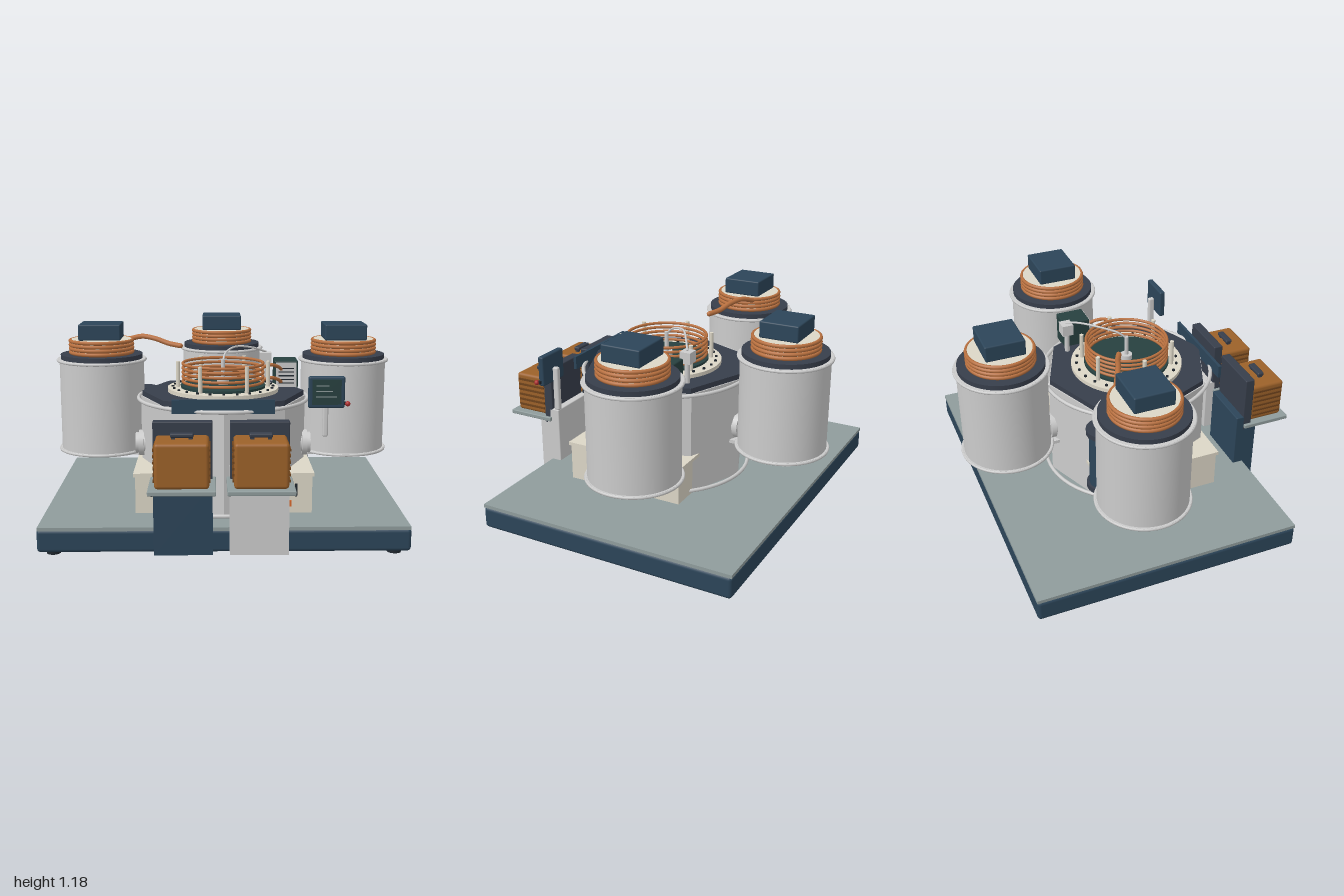
import * as THREE from 'three';
import { RoundedBoxGeometry } from 'three/addons/geometries/RoundedBoxGeometry.js';

const mat = (color, opts = {}) => new THREE.MeshStandardMaterial({ color, ...opts });
const GREY = mat(0xcccccc), NAVY = mat(0x2c4559), SLATE = mat(0x373e4b), CREAM = mat(0xdcd6c6);
const COPPER = mat(0xb8703f), ORANGE = mat(0x9c6129), DECK = mat(0x8f9c9c), GREEN = mat(0x27403f);
const DARK = mat(0x1f262d), RED = mat(0xb03030), BROWN = mat(0x6e431c);
const FACETED = mat(0xcccccc, { flatShading: true }), FACETED_SLATE = mat(0x373e4b, { flatShading: true });
const CZ = 0.06; // chamber axis, z

function add(parent, name, geometry, material, x = 0, y = 0, z = 0) {
  const m = new THREE.Mesh(geometry, material);
  m.name = name;
  m.position.set(x, y, z);
  parent.add(m);
  return m;
}

function group(parent, name, x = 0, y = 0, z = 0) {
  const g = new THREE.Group();
  g.name = name;
  g.position.set(x, y, z);
  parent.add(g);
  return g;
}

// Box given by its min and max corners
function box(parent, name, material, [x0, x1], [y0, y1], [z0, z1], radius = 0) {
  const s = [x1 - x0, y1 - y0, z1 - z0];
  const geo = radius ? new RoundedBoxGeometry(...s, 3, radius) : new THREE.BoxGeometry(...s);
  return add(parent, name, geo, material, (x0 + x1) / 2, (y0 + y1) / 2, (z0 + z1) / 2);
}

// Upright cylinder between two heights
function drum(parent, name, material, r, y0, y1, x = 0, z = 0, sides = 48) {
  return add(parent, name, new THREE.CylinderGeometry(r, r, y1 - y0, sides), material, x, (y0 + y1) / 2, z);
}

function ring(parent, name, material, r, tube, y, x = 0, z = 0) {
  const m = add(parent, name, new THREE.TorusGeometry(r, tube, 8, 56), material, x, y, z);
  m.rotation.x = Math.PI / 2;
  return m;
}

function hose(parent, name, material, r, points) {
  const curve = new THREE.CatmullRomCurve3(points.map(p => new THREE.Vector3(...p)));
  const g = group(parent, name);
  add(g, name + 'Tube', new THREE.TubeGeometry(curve, 32, r, 10), material);
  for (const p of [points[0], points[points.length - 1]]) add(g, name + 'End', new THREE.SphereGeometry(r, 10, 8), material, ...p);
}

function buildBase(root) {
  const g = group(root, 'base');
  box(g, 'plinth', NAVY, [-1, 1], [0.04, 0.165], [-0.84, 0.67], 0.02);
  box(g, 'deck', DECK, [-0.995, 0.995], [0.16, 0.18], [-0.84, 0.67]);
  box(g, 'bottomPlate', CREAM, [-0.49, 0.49], [0.018, 0.045], [-0.28, 0.42]);
  for (const sx of [-1, 1]) {
    for (const z of [-0.77, 0.6]) drum(g, 'outerFoot', DARK, 0.038, 0.018, 0.045, sx * 0.92, z, 24);
    for (const z of [-0.21, 0.34]) drum(g, 'innerFoot', DARK, 0.03, 0, 0.02, sx * 0.38, z, 24);
  }
}

function buildCabinet(root) {
  const g = group(root, 'cabinet');
  box(g, 'cabinetBody', CREAM, [-0.49, 0.49], [0.18, 0.39], [-0.28, 0.42]);
  box(g, 'cabinetTop', CREAM, [-0.5, 0.5], [0.39, 0.41], [-0.3, 0.43]);
  for (const s of [-1, 1]) {
    box(g, 'door', CREAM, [s * 0.25 - 0.225, s * 0.25 + 0.225], [0.2, 0.375], [0.42, 0.427]);
    box(g, 'doorHandle', DARK, [s * 0.4 - 0.006, s * 0.4 + 0.006], [0.28, 0.35], [0.425, 0.437]);
  }
  box(g, 'warningLabel', mat(0xd8682c), [0.335, 0.375], [0.22, 0.255], [0.425, 0.431]);
}

function buildChamber(root) {
  const g = group(root, 'chamber', 0, 0, CZ);
  drum(g, 'chamberBody', FACETED, 0.475, 0.185, 0.78, 0, 0, 8);
  for (const y of [0.2, 0.775]) ring(g, 'chamberFlange', GREY, 0.488, 0.011, y);
  drum(g, 'lid', FACETED_SLATE, 0.468, 0.775, 0.81, 0, 0, 8);

  // Bolted collar around the window
  const shape = new THREE.Shape().absarc(0, 0, 0.32, 0, Math.PI * 2);
  shape.holes.push(new THREE.Path().absarc(0, 0, 0.22, 0, Math.PI * 2, true));
  const collar = new THREE.ExtrudeGeometry(shape, { depth: 0.022, bevelEnabled: false, curveSegments: 40 });
  add(g, 'collar', collar.rotateX(-Math.PI / 2), CREAM, 0, 0.81, 0);
  for (let i = 0; i < 24; i++) {
    const a = i * Math.PI / 12;
    drum(g, 'bolt', DARK, 0.009, 0.83, 0.84, 0.29 * Math.sin(a), 0.29 * Math.cos(a), 6);
  }
  drum(g, 'window', GREEN, 0.245, 0.81, 0.845);

  // Copper coil on posts
  for (let i = 0; i < 5; i++) ring(g, 'coilTurn', COPPER, 0.232, 0.0085, 0.865 + i * 0.026);
  for (let i = 0; i < 6; i++) {
    const a = (i + 0.5) * Math.PI / 3;
    drum(g, 'coilPost', CREAM, 0.012, 0.83, 0.98, 0.26 * Math.sin(a), 0.26 * Math.cos(a), 12);
  }
  drum(g, 'gasInlet', GREY, 0.034, 0.84, 0.875, 0, 0, 24);
  drum(g, 'gasStem', GREY, 0.012, 0.87, 0.99, 0, 0, 16);
  hose(g, 'gasLine', GREY, 0.006, [[0, 0.98, 0], [0.015, 1.02, -0.05], [0.08, 1.045, -0.15], [0.18, 1.03, -0.22], [0.26, 1.0, -0.27]]);

  // Short ports towards the three tanks
  for (const a of [-Math.PI / 2, Math.PI / 2, Math.PI]) {
    const port = group(g, 'port', 0, 0.5, 0);
    port.rotation.y = a;
    add(port, 'portTube', new THREE.CylinderGeometry(0.06, 0.06, 0.12, 32).rotateX(Math.PI / 2), GREY, 0, 0, 0.45);
    add(port, 'portFlange', new THREE.CylinderGeometry(0.075, 0.075, 0.03, 32).rotateX(Math.PI / 2), GREY, 0, 0, 0.475);
  }
  box(g, 'namePlate', NAVY, [-0.28, 0.27], [0.765, 0.84], [0.455, 0.472]);
}

function buildMatchingUnit(root) {
  const g = group(root, 'matchingUnit');
  box(g, 'matchBox', GREEN, [0.305, 0.445], [0.795, 0.965], [-0.21, -0.05], 0.008);
  box(g, 'matchPanel', GREY, [0.315, 0.435], [0.805, 0.955], [-0.055, -0.045]);
  for (let i = 0; i < 5; i++) box(g, 'ventSlat', DARK, [0.33, 0.42], [0.83 + i * 0.022, 0.836 + i * 0.022], [-0.046, -0.042]);
  box(g, 'gasBlock', GREY, [0.225, 0.295], [0.93, 0.995], [-0.245, -0.18]);
  drum(g, 'gasBlockStand', GREY, 0.015, 0.8, 0.94, 0.26, -0.21, 16);
  for (const y of [0.87, 0.945]) {
    hose(g, 'copperFeed', COPPER, 0.01, [[0.23, y, CZ], [0.28, y + 0.01, 0.045], [0.32, y - 0.005, 0.01], [0.345, y - 0.03, -0.05]]);
  }
}

function buildScreen(root) {
  const g = group(root, 'controlScreen');
  box(g, 'screenCase', NAVY, [0.45, 0.645], [0.79, 0.96], [0.475, 0.51], 0.01);
  box(g, 'screenGlass', GREEN, [0.47, 0.625], [0.81, 0.945], [0.505, 0.513]);
  for (let i = 0; i < 3; i++) box(g, 'screenLine', DECK, [0.49, 0.6 - i * 0.02], [0.85 + i * 0.03, 0.855 + i * 0.03], [0.51, 0.515]);
  box(g, 'screenArm', GREY, [0.533, 0.563], [0.625, 0.88], [0.44, 0.476], 0.01);
  add(g, 'stopButton', new THREE.SphereGeometry(0.014, 16, 12), RED, 0.66, 0.815, 0.512);
  box(g, 'stopButtonMount', DARK, [0.635, 0.66], [0.807, 0.823], [0.49, 0.508]);
}

function buildTank(root, x, z) {
  const g = group(root, 'tank', x, 0, z);
  drum(g, 'tankBody', GREY, 0.25, 0.43, 0.97);
  for (const y of [0.432, 0.965]) {
    drum(g, 'tankFlange', GREY, 0.262, y - 0.008, y + 0.008);
    ring(g, 'tankFlangeRim', GREY, 0.258, 0.009, y);
  }
  drum(g, 'tankCollar', SLATE, 0.242, 0.97, 1.0);
  drum(g, 'core', CREAM, 0.18, 1.0, 1.087);
  for (let i = 0; i < 4; i++) ring(g, 'windingTurn', COPPER, 0.183, 0.011, 1.011 + i * 0.0225);
  box(g, 'headBox', NAVY, [-0.123, 0.123], [1.087, 1.18], [-0.112, 0.112], 0.008);
  // Flat support arm pointing at the chamber
  const arm = group(g, 'supportArm');
  arm.rotation.y = Math.atan2(-x, CZ - z);
  box(arm, 'armPlate', GREY, [-0.07, 0.07], [0.408, 0.428], [0, 0.34]);
}

function buildPumps(root) {
  const g = group(root, 'pumps');
  // Bellows below the chamber
  drum(g, 'bellowsCore', DARK, 0.045, 0.28, 0.43, 0.455, -0.13, 24);
  for (let i = 0; i < 5; i++) ring(g, 'bellowsFold', SLATE, 0.055, 0.011, 0.325 + i * 0.021, 0.455, -0.13);
  // Upright pump behind the chamber
  drum(g, 'pumpBody', NAVY, 0.075, 0.4, 0.76, -0.49, -0.28, 32);
  for (const y of [0.4, 0.76]) drum(g, 'pumpFlange', SLATE, 0.09, y - 0.015, y + 0.015, -0.49, -0.28, 32);
}

function buildStation(root, x, material) {
  const g = group(root, 'canisterStation', x);
  box(g, 'column', material, [-0.155, 0.155], [0.05, 0.44], [0.665, 0.74]);
  box(g, 'columnBracket', material, [-0.155, 0.155], [0.175, 0.51], [0.61, 0.675], 0.006);
  box(g, 'shelf', DECK, [-0.172, 0.172], [0.432, 0.457], [0.66, 0.945], 0.005);
  box(g, 'backPlate', SLATE, [-0.155, 0.155], [0.41, 0.76], [0.652, 0.708], 0.006);
  box(g, 'canister', ORANGE, [-0.138, 0.138], [0.457, 0.692], [0.7, 0.915], 0.018);
  for (let i = 0; i < 6; i++) {
    for (const s of [-1, 1]) {
      const cx = s * 0.139, y = 0.49 + i * 0.032;
      box(g, 'canisterRib', BROWN, [cx - 0.006, cx + 0.006], [y, y + 0.012], [0.72, 0.9]);
    }
  }
  box(g, 'canisterHandle', SLATE, [-0.06, 0.06], [0.702, 0.724], [0.785, 0.825], 0.008);
  for (const s of [-1, 1]) box(g, 'handleFoot', SLATE, [s * 0.045 - 0.01, s * 0.045 + 0.01], [0.685, 0.71], [0.793, 0.817]);
}

export function createModel() {
  const root = new THREE.Group();
  root.name = 'etchMachine';
  buildBase(root);
  buildCabinet(root);
  buildChamber(root);
  buildMatchingUnit(root);
  buildScreen(root);
  for (const [x, z] of [[-0.72, -0.14], [0.72, -0.14], [0, -0.68]]) buildTank(root, x, z);
  buildPumps(root);
  buildStation(root, -0.217, NAVY);
  buildStation(root, 0.183, GREY);
  hose(root, 'copperHose', COPPER, 0.015, [[-0.56, 1.075, -0.23], [-0.48, 1.095, -0.19], [-0.4, 1.085, -0.155], [-0.32, 1.06, -0.125], [-0.25, 1.05, -0.09]]);
  return root;
}
